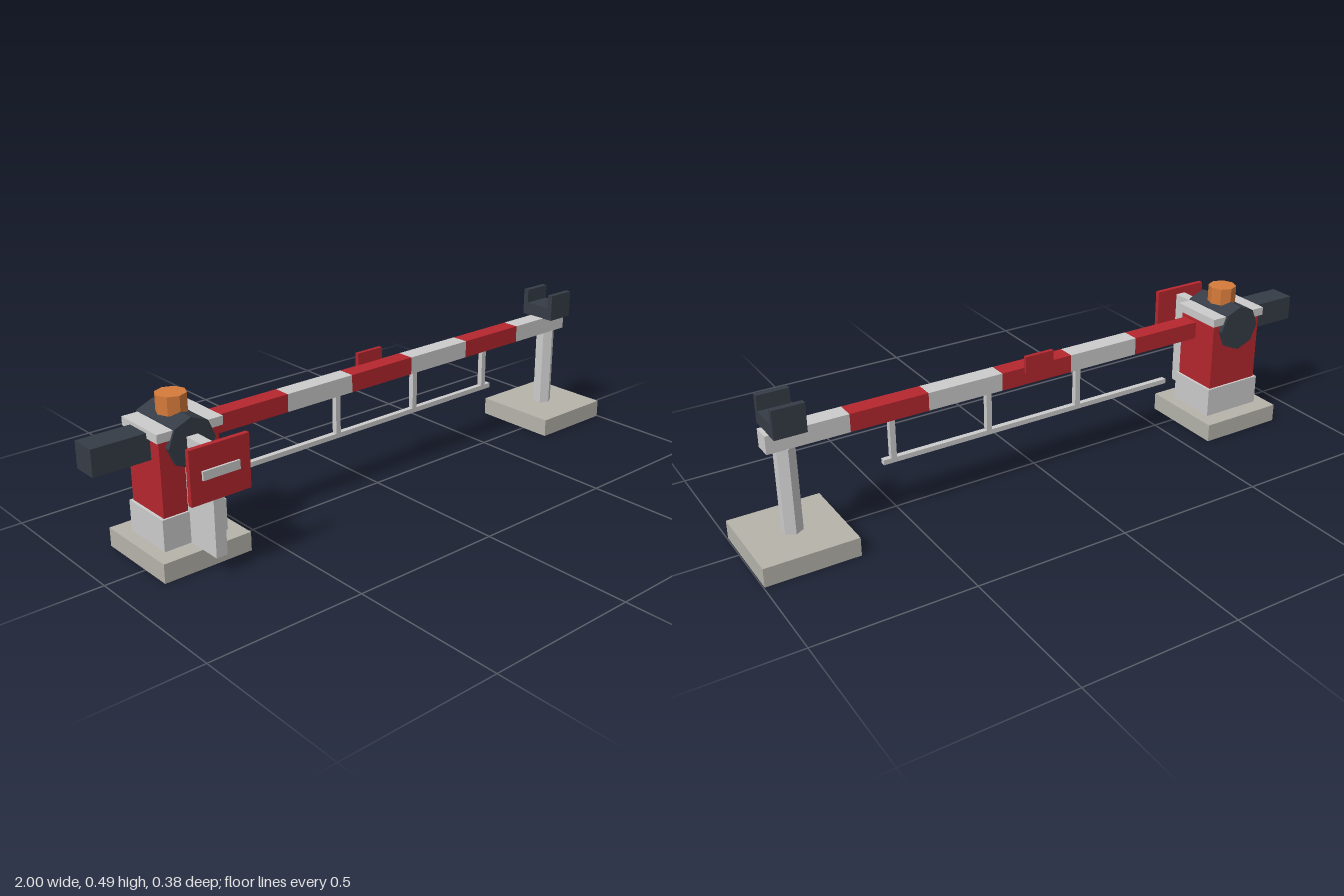
import * as THREE from 'three';

export function createModel() {
  const model = new THREE.Group();
  const mat = (color) => new THREE.MeshStandardMaterial({ color, flatShading: true });
  const grey = mat(0xcccccc), red = mat(0xb5262e), dark = mat(0x363c46);
  const orange = mat(0xd67a3a), concrete = mat(0xb5b3aa);
  const Z = -0.044; // centre line of the barrier
  const CX = -0.724; // centre of the cabinet

  const add = (name, geometry, material, x, y, z) => {
    const mesh = new THREE.Mesh(geometry, material);
    mesh.name = name;
    mesh.position.set(x, y, z);
    model.add(mesh);
    return mesh;
  };
  // Box given by its limits on each axis
  const box = (name, material, [x0, x1], [y0, y1], [z0, z1]) =>
    add(name, new THREE.BoxGeometry(x1 - x0, y1 - y0, z1 - z0), material,
      (x0 + x1) / 2, (y0 + y1) / 2, (z0 + z1) / 2);
  const around = (c, size) => [c - size / 2, c + size / 2];

  // Concrete footings
  for (const x of [CX, 0.851])
    box('footing', concrete, around(x, 0.292), [0, 0.06], around(Z, 0.294));

  // Drive cabinet
  box('cabinetPlinth', grey, around(CX, 0.212), [0.06, 0.158], around(Z, 0.177));
  box('cabinet', red, around(CX, 0.194), [0.158, 0.39], around(Z, 0.163));
  for (const side of [-1, 1])
    box('cabinetTopRail', grey, around(CX + side * 0.08, 0.054), [0.388, 0.415], around(Z, 0.183));

  // Pivot drum through the cabinet, with the warning lamp on top
  const drum = new THREE.CylinderGeometry(0.076, 0.076, 0.197, 8).rotateX(Math.PI / 2);
  add('pivotDrum', drum, dark, CX, 0.365, Z);
  add('warningLamp', new THREE.CylinderGeometry(0.046, 0.046, 0.056, 8), orange, CX, 0.459, Z);

  // Counterweight behind the pivot
  box('counterweight', dark, [-1, CX - 0.09], [0.322, 0.404], around(Z - 0.004, 0.084));

  // Sign on its upright fin
  box('signPost', grey, around(CX, 0.036), [0.06, 0.388], [0.035, 0.17]);
  box('signPlate', red, around(CX, 0.194), [0.247, 0.411], [0.17, 0.186]);
  box('signBar', grey, around(CX, 0.12), [0.316, 0.343], [0.185, 0.193]);

  // Striped boom
  const start = -0.594, step = 0.251;
  for (let i = 0; i < 6; i++)
    box('boomSegment', i % 2 ? grey : red, [start + i * step, start + (i + 1) * step],
      [0.334, 0.391], around(Z, 0.058));
  box('boomFlag', red, [-0.019, 0.081], [0.375, 0.43], [-0.084, -0.071]);

  // Hanging lower rail
  for (const x of [-0.133, 0.195, 0.522])
    box('railHanger', grey, around(x, 0.018), [0.195, 0.336], around(Z, 0.018));
  box('lowerRail', grey, [-0.492, 0.556], [0.185, 0.201], around(Z, 0.018));

  // Rest post and receiving fork
  add('restPost', new THREE.CylinderGeometry(0.0325, 0.0325, 0.274, 6), grey, 0.851, 0.197, Z);
  box('forkBase', dark, [0.801, 0.899], [0.39, 0.433], around(Z, 0.13));
  for (const side of [-1, 1])
    box('forkCheek', dark, [0.801, 0.899], [0.39, 0.48], around(Z + side * 0.0555, 0.019));

  return model;
}
